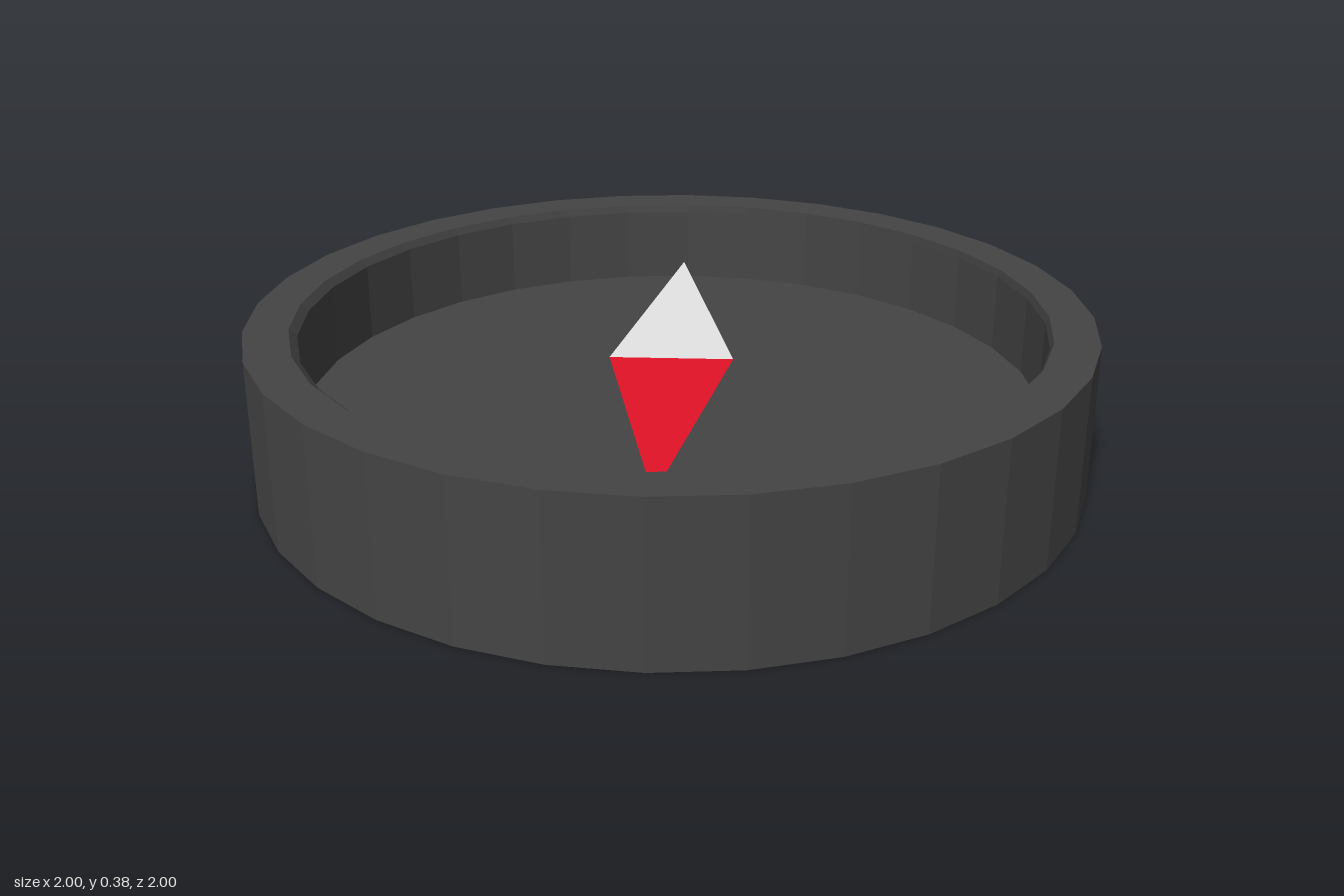
import * as THREE from 'three';

const SEGMENTS = 32;
const BORE_X = 0.005, BORE_Z = -0.01; // the recess sits slightly off centre

export function createModel() {
  const group = new THREE.Group();
  group.name = 'compass';

  const caseMaterial = new THREE.MeshStandardMaterial({ name: 'dark grey case', color: 0x444444, flatShading: true });
  const whiteMaterial = new THREE.MeshStandardMaterial({ name: 'needle white', color: 0xe6e6e6, side: THREE.DoubleSide });
  const redMaterial = new THREE.MeshStandardMaterial({ name: 'needle red', color: 0xe41227, side: THREE.DoubleSide });

  // Round case: base, outer wall, flat rim, small inner lip, recess wall and floor
  const profile = [
    [0, 0], [1, 0], [1, 0.375], [0.895, 0.375], [0.884, 0.355], [0.884, 0.16], [0, 0.16],
  ].map(([r, y]) => new THREE.Vector2(r, y));
  const caseGeometry = new THREE.LatheGeometry(profile, SEGMENTS);
  const pos = caseGeometry.attributes.position;
  for (let i = 0; i < pos.count; i++) {
    if (Math.hypot(pos.getX(i), pos.getZ(i)) < 0.89 && pos.getY(i) > 0.1) {
      pos.setX(i, pos.getX(i) + BORE_X);
      pos.setZ(i, pos.getZ(i) + BORE_Z);
    }
  }
  caseGeometry.computeVertexNormals();
  const body = new THREE.Mesh(caseGeometry, caseMaterial);
  body.name = 'case';
  group.add(body);

  // Flat needle: two triangles meeting at the middle, floating above the floor
  const needle = new THREE.Group();
  needle.name = 'needle';
  needle.position.set(0, 0.248, BORE_Z);
  const half = new THREE.Shape([
    new THREE.Vector2(-0.15, 0), new THREE.Vector2(0.15, 0), new THREE.Vector2(0, 0.745),
  ]);
  const halfGeometry = new THREE.ShapeGeometry(half).rotateX(-Math.PI / 2);
  const addHalf = (name, material, turn) => {
    const mesh = new THREE.Mesh(halfGeometry, material);
    mesh.name = name;
    mesh.rotation.y = turn;
    needle.add(mesh);
  };
  addHalf('backNeedleHalf', whiteMaterial, 0);
  addHalf('frontNeedleHalf', redMaterial, Math.PI);
  group.add(needle);

  return group;
}
